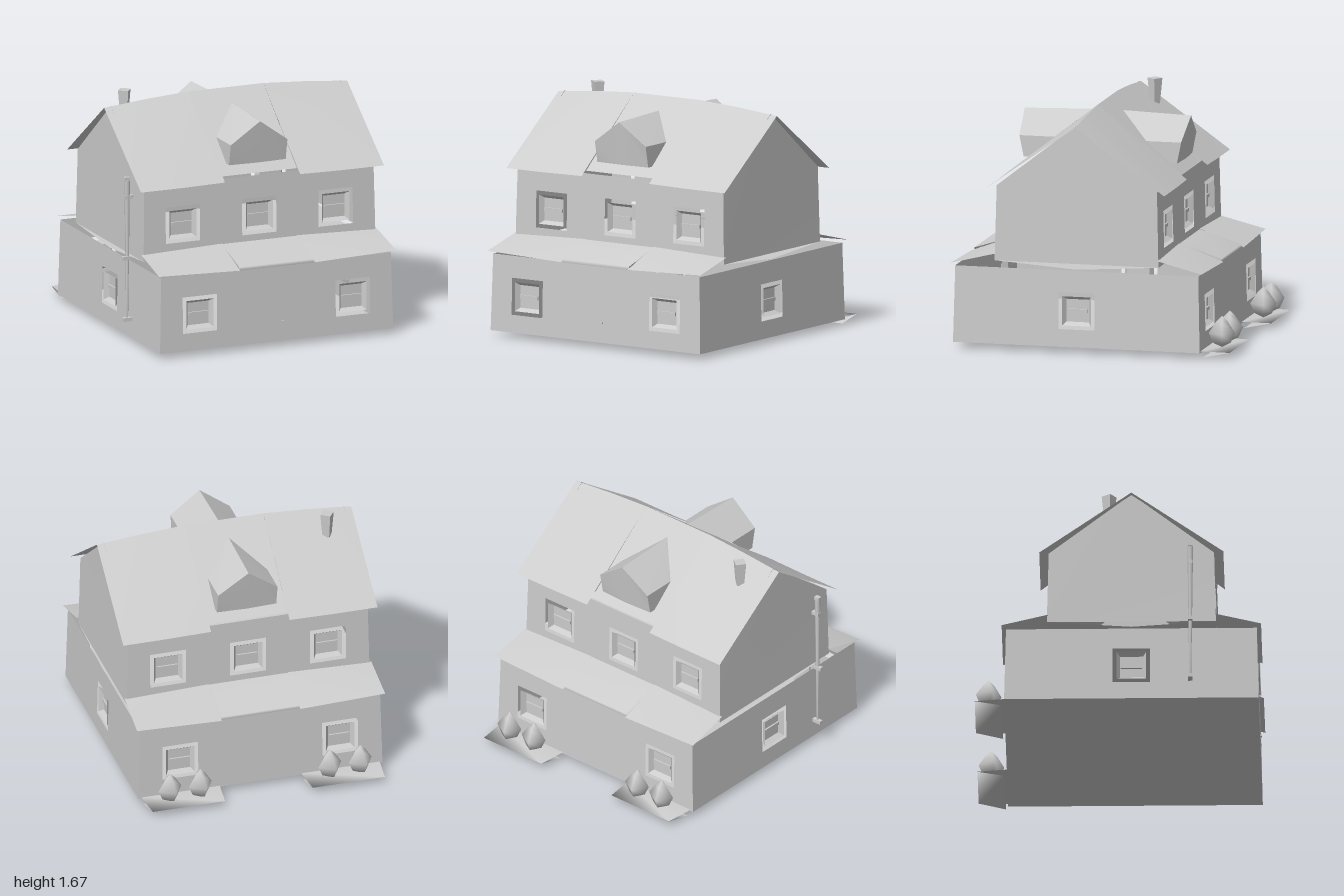
import * as THREE from 'three';

const grey = new THREE.MeshStandardMaterial({ color: 0xcccccc, side: THREE.DoubleSide });
grey.name = 'plain grey';

function add(parent, name, geometry, x = 0, y = 0, z = 0) {
  const mesh = new THREE.Mesh(geometry, grey);
  mesh.name = name;
  mesh.position.set(x, y, z);
  parent.add(mesh);
  return mesh;
}

// Smooth sheet through rows of [x, y, z] points
function sheet(rows) {
  const n = rows[0].length, index = [];
  for (let r = 0; r < rows.length - 1; r++) {
    for (let c = 0; c < n - 1; c++) {
      const a = r * n + c, b = a + n;
      index.push(a, b, a + 1, a + 1, b, b + 1);
    }
  }
  const g = new THREE.BufferGeometry();
  g.setAttribute('position', new THREE.Float32BufferAttribute(rows.flat(2), 3));
  g.setIndex(index);
  g.computeVertexNormals();
  return g;
}

// Wall outline with square window openings; out(y) gives its distance from the centre
function wall(parent, name, pts, openings, out, angle) {
  const shape = new THREE.Shape(pts.map(p => new THREE.Vector2(...p)));
  const r = 0.13, side = new THREE.Group();
  side.name = name;
  for (const [x, y] of openings) {
    shape.holes.push(new THREE.Path([[-r, -r], [-r, r], [r, r], [r, -r]]
      .map(([a, b]) => new THREE.Vector2(x + a, y + b))));
    side.add(makeWindow(x, y, out(y)));
  }
  const g = new THREE.ShapeGeometry(shape), p = g.attributes.position;
  for (let i = 0; i < p.count; i++) p.setZ(i, out(p.getY(i)));
  g.computeVertexNormals();
  add(side, name + 'Panel', g);
  side.rotation.y = angle;
  parent.add(side);
}

// Recessed window pane with a crossbar
function makeWindow(x, y, z) {
  const w = new THREE.Group();
  w.name = 'window';
  w.position.set(x, y, z);
  const rim = new THREE.CylinderGeometry(0.103 * Math.SQRT2, 0.08 * Math.SQRT2, 0.035, 4, 1, true)
    .rotateY(Math.PI / 4).rotateX(Math.PI / 2).toNonIndexed();
  rim.computeVertexNormals();
  add(w, 'windowRim', rim, 0, 0, -0.015);
  add(w, 'windowPane', new THREE.PlaneGeometry(0.162, 0.162), 0, 0, -0.032);
  add(w, 'windowBar', new THREE.BoxGeometry(0.15, 0.025, 0.012), 0, 0, -0.026);
  return w;
}

// Half of everything that repeats at front and back
function makeHalf() {
  const h = new THREE.Group();
  h.name = 'houseHalf';
  const lean = (bottom, top, y0, y1) => y => bottom + (top - bottom) * Math.min(1, (y - y0) / (y1 - y0));
  const lower = lean(0.885, 0.872, 0.04, 0.58);
  const lowerPts = [[-0.885, 0.04], [0.885, 0.04], [0.872, 0.58], [-0.872, 0.58]];
  wall(h, 'lowerWall', lowerPts, [[-0.58, 0.295], [0.58, 0.295]], lower, 0);
  wall(h, 'lowerSideWall', lowerPts, [[0, 0.295]], lower, Math.PI / 2);
  wall(h, 'upperWall', [[-0.88, 0.63], [0.88, 0.63], [0.87, 1.16], [-0.87, 1.16]],
    [[-0.58, 0.87], [0, 0.87], [0.58, 0.87]], lean(0.588, 0.575, 0.63, 1.16), 0);
  wall(h, 'gableWall', [[-0.588, 0.63], [0.588, 0.63], [0.575, 1.16], [0, 1.61], [-0.575, 1.16]],
    [], lean(0.88, 0.87, 0.63, 1.16), Math.PI / 2);

  // Main roof slope: two outer panels and a shorter middle one
  for (const s of [-1, 1]) {
    add(h, 'roofOuterPanel', sheet([
      [[s * 0.922, 1.6, 0], [s * 0.6, 1.63, 0], [s * 0.285, 1.65, 0]],
      [[s * 0.922, 1.145, 0.64], [s * 0.6, 1.145, 0.64], [s * 0.285, 1.15, 0.64]]]));
    add(h, 'skirtOuterPanel', sheet([
      [[s * 0.895, 0.68, 0.58], [s * 0.285, 0.7, 0.58]],
      [[s * 0.9, 0.6, 0.902], [s * 0.285, 0.58, 0.902]]]));
  }
  add(h, 'roofMiddlePanel', sheet([
    [[-0.285, 1.65, 0], [0.285, 1.65, 0]],
    [[-0.285, 1.18, 0.585], [0.285, 1.18, 0.585]]]));
  add(h, 'skirtMiddlePanel', sheet([
    [[-0.285, 0.7, 0.57], [0.285, 0.7, 0.57]],
    [[-0.285, 0.6, 0.885], [0.285, 0.6, 0.885]],
    [[-0.285, 0.575, 0.88], [0.285, 0.575, 0.88]]]));

  // Dormer
  const apex = [0, 1.55, 0.597], tip = [0, 1.565, 0.11];
  const w = 0.215, base = s => [s * w, 1.245, 0.55], eave = s => [s * w, 1.395, 0.58];
  const back = s => [s * w, 1.395, 0.33];
  add(h, 'dormerFace', sheet([[base(-1), eave(-1)], [[0, 1.245, 0.56], apex], [base(1), eave(1)]]));
  for (const s of [-1, 1]) {
    add(h, 'dormerRoof', sheet([[apex, tip], [eave(s), back(s)]]));
    add(h, 'dormerCheek', sheet([[eave(s), back(s)], [base(s), [s * w, 1.245, 0.5]]]));
  }
  return h;
}

export function createModel() {
  const model = new THREE.Group();
  model.name = 'house';
  const body = new THREE.Group();
  body.name = 'houseBody';
  body.position.set(0.015, 0, 0.09);
  model.add(body);

  const front = makeHalf(), rear = makeHalf();
  rear.rotation.y = Math.PI;
  body.add(front, rear);

  // Bowed undersides
  const grid = [-0.885, -0.29, 0.29, 0.885];
  add(body, 'foundation', sheet(grid.map(z => grid.map(x =>
    [x, Math.max(Math.abs(x), Math.abs(z)) > 0.5 ? 0.04 : 0, z]))));
  add(body, 'upperFloor', sheet([-0.588, 0, 0.588].map(z =>
    [-0.88, 0.88].map(x => [x, z ? 0.63 : 0.59, z]))));

  // Chimney
  const stack = new THREE.CylinderGeometry(0.052, 0.035, 0.18, 4).toNonIndexed();
  stack.computeVertexNormals();
  add(model, 'chimney', stack, -0.685, 1.58, -0.068).rotation.y = 0.15;

  // Drainpipe and brackets on the side wall
  add(model, 'drainpipe', new THREE.CylinderGeometry(0.02, 0.007, 1.0, 6), -0.912, 0.68, 0.5);
  for (const [x, y, len] of [[-0.915, 1.19, 0.04], [-0.9, 1.06, 0.06], [-0.92, 0.62, 0.06], [-0.912, 0.18, 0.07]]) {
    add(model, 'pipeBracket', new THREE.BoxGeometry(len, 0.025, 0.03), x, y, 0.5);
  }

  // Door handle
  add(model, 'doorHandle', new THREE.BoxGeometry(0.025, 0.01, 0.02), 0.065, 0.18, 0.972);

  // Planting beds with pointed shrubs behind the house
  for (const s of [-1, 1]) {
    const x = 0.015 + s * 0.58;
    add(model, 'plantingBed', sheet([
      [[x - 0.285, 0.05, -0.79], [x + 0.285, 0.05, -0.79]],
      [[x - 0.262, 0.045, -1], [x + 0.262, 0.045, -1]],
      [[x - 0.275, 0.005, -0.81], [x + 0.275, 0.005, -0.81]]]));
    for (const dx of [-0.11, 0.11]) {
      const shrub = new THREE.LatheGeometry([[0, 0.055], [0.06, 0.085], [0.092, 0.155], [0.04, 0.235], [0, 0.275]]
        .map(p => new THREE.Vector2(...p)), 4);
      add(model, 'shrub', shrub, x + dx, 0, -0.905).rotation.y = 0.25;
    }
  }
  return model;
}
